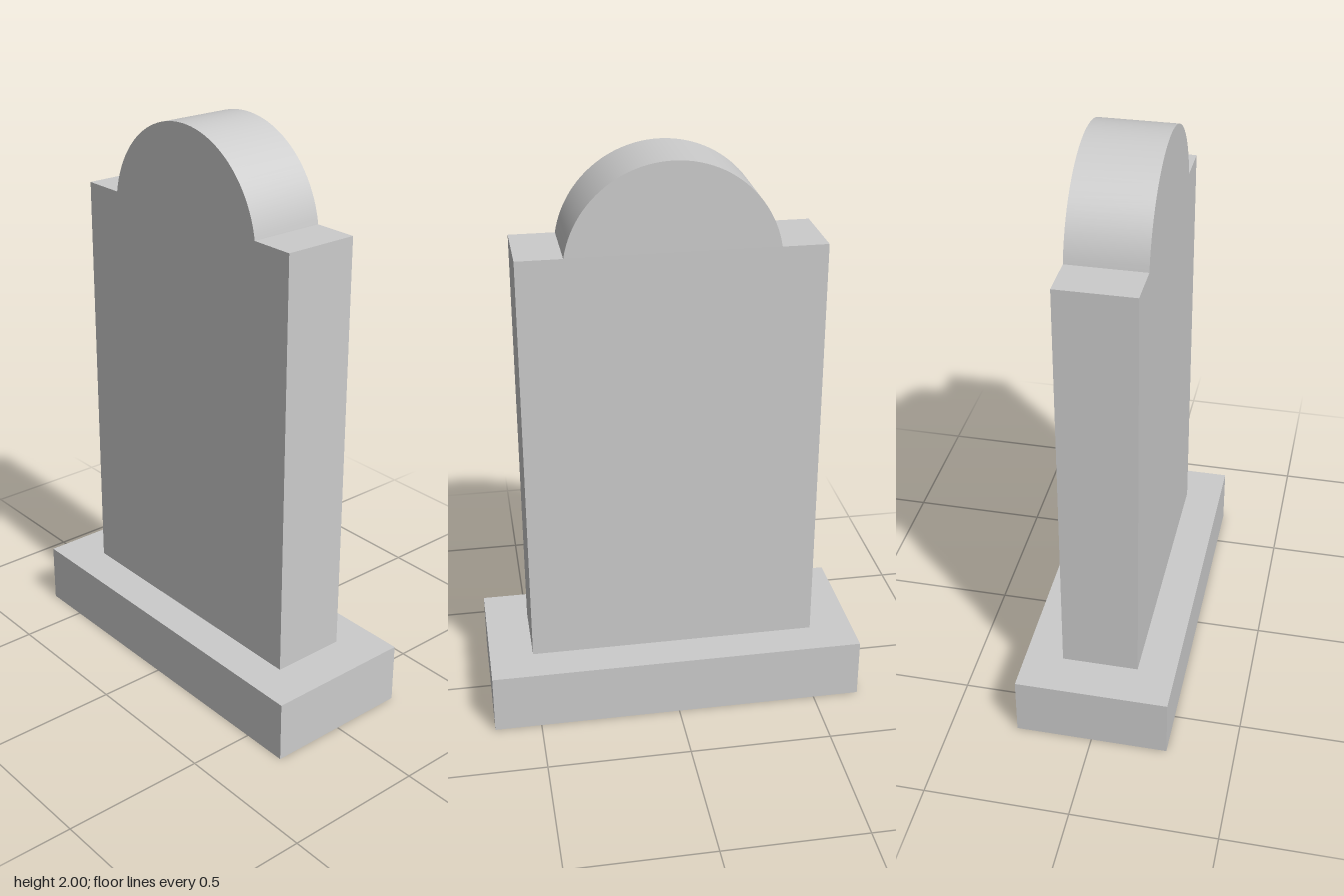
import * as THREE from 'three';
import { toCreasedNormals } from 'three/addons/utils/BufferGeometryUtils.js';

export function createModel() {
  const group = new THREE.Group();
  group.name = 'headstone';
  const stone = new THREE.MeshStandardMaterial({ color: 0xcccccc });

  // Plinth
  const baseHeight = 0.215;
  const base = new THREE.Mesh(new THREE.BoxGeometry(1.33, baseHeight, 0.533), stone);
  base.name = 'base';
  base.position.y = baseHeight / 2;
  group.add(base);

  // Upright slab: square shoulders with a round arch between them
  const halfWidth = 0.511, shoulderY = 1.7, depth = 0.267;
  const radius = 0.36, centreY = 2 - radius;
  const startAngle = Math.asin((shoulderY - centreY) / radius);

  const outline = new THREE.Shape();
  outline.moveTo(-halfWidth, baseHeight);
  outline.lineTo(halfWidth, baseHeight);
  outline.lineTo(halfWidth, shoulderY);
  outline.absarc(0, centreY, radius, startAngle, Math.PI - startAngle, false);
  outline.lineTo(-halfWidth, shoulderY);
  outline.closePath();

  const slabGeometry = new THREE.ExtrudeGeometry(outline, {
    depth, bevelEnabled: false, curveSegments: 24,
  });
  slabGeometry.translate(0, 0, -depth / 2);
  const slab = new THREE.Mesh(toCreasedNormals(slabGeometry, Math.PI / 6), stone);
  slab.name = 'slab';
  group.add(slab);

  return group;
}
